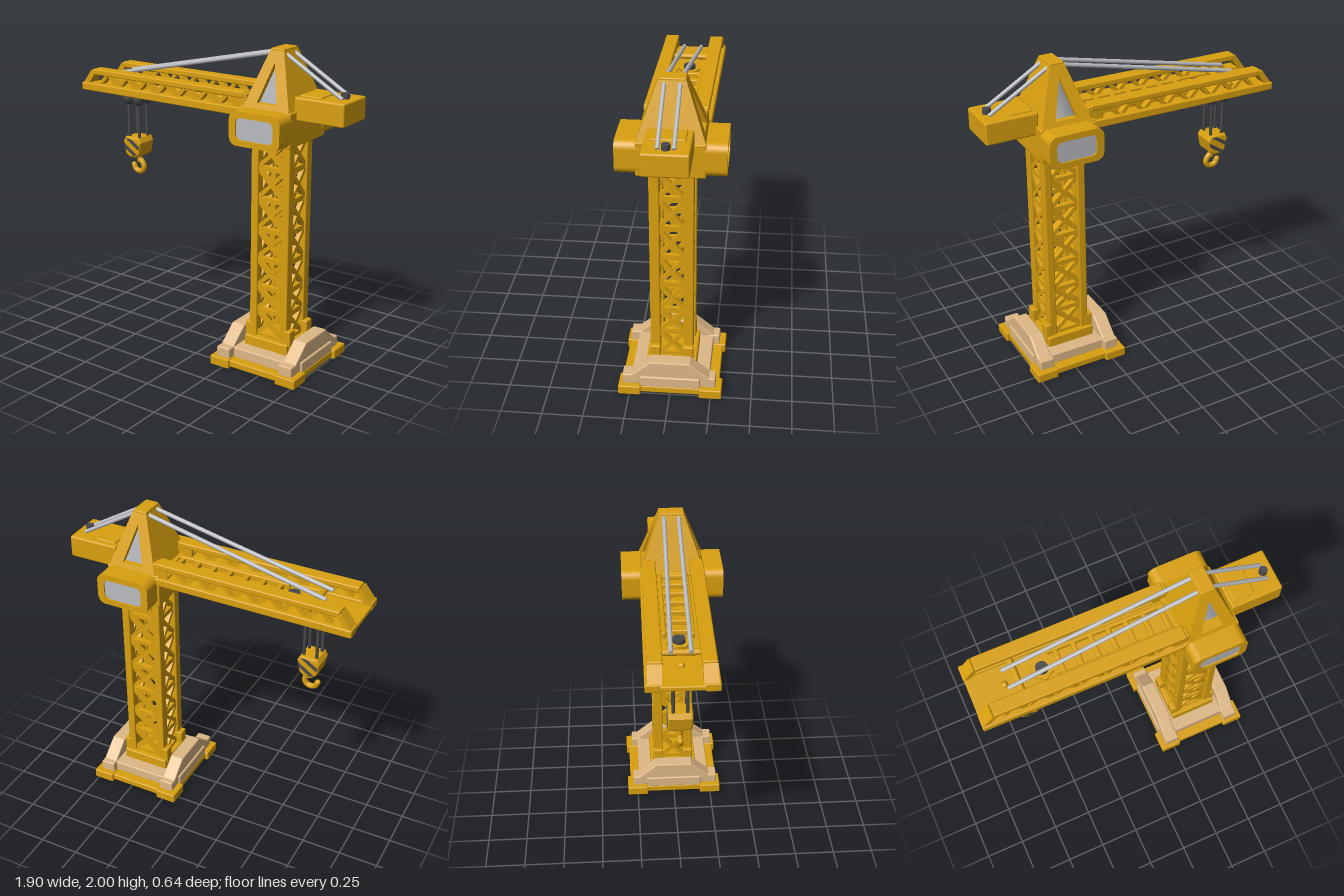
import * as THREE from 'three';
import { RoundedBoxGeometry } from 'three/addons/geometries/RoundedBoxGeometry.js';

const paint = (name, color, opts = {}) => Object.assign(new THREE.MeshStandardMaterial({ color, ...opts }), { name });

export function createModel() {
  const yellow = paint('crane yellow', 0xd9a00f);
  const tan = paint('ballast tan', 0xdeb887);
  const grey = paint('light grey', 0xb9bbbf);
  const dark = paint('dark grey', 0x48484a);
  const root = new THREE.Group();
  root.name = 'towerCrane';

  const group = (name, parent = root) => {
    const g = new THREE.Group();
    g.name = name;
    parent.add(g);
    return g;
  };
  const add = (parent, name, geo, mat, x = 0, y = 0, z = 0) => {
    const m = new THREE.Mesh(geo, mat);
    m.name = name;
    m.position.set(x, y, z);
    parent.add(m);
    return m;
  };
  // Box given by its extents, with softened edges
  const box = (parent, name, mat, x0, x1, y0, y1, z0, z1, r = 0.008) =>
    add(parent, name, new RoundedBoxGeometry(x1 - x0, y1 - y0, z1 - z0, 2, r), mat,
      (x0 + x1) / 2, (y0 + y1) / 2, (z0 + z1) / 2);
  const UP = new THREE.Vector3(0, 1, 0);
  const between = (parent, name, mat, a, b, makeGeo) => {
    const A = new THREE.Vector3(...a), B = new THREE.Vector3(...b);
    const dir = B.clone().sub(A), len = dir.length();
    const m = add(parent, name, makeGeo(len), mat);
    m.position.copy(A).add(B).multiplyScalar(0.5);
    m.quaternion.setFromUnitVectors(UP, dir.normalize());
  };
  const beam = (p, n, a, b, w, d) => between(p, n, yellow, a, b, (l) => new THREE.BoxGeometry(w, l, d));
  const rod = (p, n, mat, a, b, r) => between(p, n, mat, a, b, (l) => new THREE.CylinderGeometry(r, r, l, 12));
  const polygon = (pts) => new THREE.Shape(pts.map((p) => new THREE.Vector2(...p)));
  const extrude = (shape, depth, bevel = 0) => new THREE.ExtrudeGeometry(shape, {
    depth, curveSegments: 8, bevelEnabled: bevel > 0, bevelSize: bevel, bevelThickness: bevel, bevelSegments: 2, bevelOffset: -bevel,
  });
  const CX = 0.467;

  // Base frame, corner feet and ballast
  const base = group('base');
  box(base, 'basePlate', yellow, 0.18, 0.755, 0.01, 0.055, -0.3, 0.3);
  box(base, 'ballastSlab', tan, 0.2, 0.735, 0.05, 0.12, -0.24, 0.24);
  for (const sx of [-1, 1]) {
    for (const sz of [-1, 1]) {
      const fx = CX + sx * 0.239, fz = sz * 0.249;
      box(base, 'cornerFoot', yellow, fx - 0.069, fx + 0.069, 0, 0.062, fz - 0.069, fz + 0.069);
      const bx = CX + sx * 0.225;
      box(base, 'ballastEnd', tan, bx - 0.047, bx + 0.047, 0.055, 0.125, fz - 0.03, fz + 0.045);
    }
    const side = extrude(polygon([[-0.24, 0.06], [0.24, 0.06], [0.24, 0.125], [0.12, 0.225], [-0.12, 0.225], [-0.24, 0.125]]), 0.074, 0.008);
    side.translate(0, 0, -0.037).rotateY(Math.PI / 2);
    add(base, 'ballastWedge', side, tan, CX + sx * 0.227);
    const px = CX + sx * 0.265;
    box(base, 'ballastPanel', tan, px - 0.02, px + 0.02, 0.05, 0.122, -0.185, 0.185);
  }
  box(base, 'towerFoot', yellow, 0.31, 0.622, 0.11, 0.185, -0.155, 0.155);

  // Lattice tower
  const tower = group('tower');
  const levels = [0.19, 0.36, 0.515, 0.7, 0.89, 1.085, 1.28, 1.46];
  for (const sx of [-1, 1]) for (const sz of [-1, 1]) {
    const lx = CX + sx * 0.109, lz = sz * 0.101;
    box(tower, 'towerLeg', yellow, lx - 0.025, lx + 0.025, 0.15, 1.47, lz - 0.031, lz + 0.031);
    const cx = CX + sx * 0.137;
    box(tower, 'legCollar', yellow, cx - 0.026, cx + 0.026, 0.15, 0.27, lz - 0.033, lz + 0.033);
  }
  for (let i = 0; i < levels.length - 1; i++) {
    const a = levels[i], b = levels[i + 1];
    for (const s of [-1, 1]) {
      const z = s * 0.103, x = CX + s * 0.109;
      for (const d of [-1, 1]) {
        beam(tower, 'towerBrace', [CX - d * 0.09, a + 0.01, z], [CX + d * 0.09, b - 0.01, z], 0.026, 0.03);
        beam(tower, 'towerBrace', [x, a + 0.01, -d * 0.075], [x, b - 0.01, d * 0.075], 0.03, 0.025);
      }
      beam(tower, 'towerRung', [CX - 0.1, a, z], [CX + 0.1, a, z], 0.028, 0.035);
      beam(tower, 'towerRung', [x, a, -0.08], [x, a, 0.08], 0.028, 0.035);
    }
  }

  // Slewing body with a cab on each face
  const cabin = group('cabin');
  box(cabin, 'slewingBody', yellow, 0.285, 0.64, 1.45, 1.66, -0.2, 0.2);
  const rounded = (w, h, r, Type = THREE.Shape) => {
    const s = new Type();
    [[w - r, r, -90], [w - r, h - r, 0], [r - w, h - r, 90], [r - w, r, 180]].forEach(([x, y, deg]) =>
      s.absarc(x, y - h / 2, r, deg * Math.PI / 180, (deg + 90) * Math.PI / 180, false));
    return s;
  };
  for (const s of [-1, 1]) {
    const cab = group('cab', cabin);
    cab.position.set(0.47, 1.558, 0);
    if (s < 0) cab.rotation.y = Math.PI;
    add(cab, 'cabBody', extrude(rounded(0.172, 0.205, 0.05), 0.13), yellow, 0, 0, 0.175);
    const rim = rounded(0.172, 0.205, 0.05);
    rim.holes.push(rounded(0.127, 0.132, 0.035, THREE.Path));
    add(cab, 'cabWindowRim', extrude(rim, 0.015), yellow, 0, 0, 0.304);
    add(cab, 'cabWindow', extrude(rounded(0.13, 0.138, 0.035), 0.006), grey, 0, 0, 0.304);
  }

  // Tapered tower head: four leaning panels, pierced front and back
  const head = group('towerHead');
  head.position.x = 0.47;
  const panel = (name, w0, w1, off0, off1, turn, pierced) => {
    const s = polygon([[-w0, 1.65], [w0, 1.65], [w1, 1.99], [-w1, 1.99]]);
    if (pierced) s.holes.push(new THREE.Path([[-0.068, 1.69], [0, 1.92], [0.068, 1.69]].map((p) => new THREE.Vector2(...p))));
    const g = extrude(s, 0.035), p = g.attributes.position;
    for (let i = 0; i < p.count; i++) {
      const t = (p.getY(i) - 1.65) / 0.34;
      p.setZ(i, p.getZ(i) - 0.035 + off0 + (off1 - off0) * t);
    }
    g.computeVertexNormals();
    add(head, name, g, yellow).rotation.y = turn;
  };
  for (const k of [0, 1]) {
    panel('headFrame', 0.16, 0.045, 0.2, 0.078, k * Math.PI, true);
    panel('headSide', 0.2, 0.078, 0.16, 0.045, Math.PI / 2 + k * Math.PI, false);
  }
  box(head, 'headCap', yellow, -0.046, 0.046, 1.95, 2, -0.079, 0.079);
  const core = new THREE.CylinderGeometry(0.045, 0.16, 0.3, 4, 1).rotateY(Math.PI / 4);
  add(head, 'headCore', core, grey, 0, 1.8, 0);

  // Counterweight and its stays
  const counter = group('counterweight');
  box(counter, 'counterweightBlock', yellow, 0.62, 0.945, 1.605, 1.745, -0.133, 0.133, 0.012);
  box(counter, 'counterweightLid', yellow, 0.64, 0.78, 1.73, 1.755, -0.1, 0.1);
  add(counter, 'anchorKnob', new THREE.CylinderGeometry(0.025, 0.025, 0.05, 16), dark, 0.88, 1.752, 0);
  for (const z of [-0.045, 0.045]) rod(counter, 'rearStay', grey, [0.5, 1.975, z], [0.885, 1.748, z], 0.012);

  // Jib, turned very slightly about the tower
  const jib = group('jib');
  jib.rotation.y = -0.012;
  jib.position.z = -0.0055;
  box(jib, 'jibFloor', yellow, -0.945, 0.31, 1.605, 1.635, -0.2, 0.2);
  box(jib, 'jibKeel', yellow, -0.55, 0.29, 1.597, 1.615, -0.09, 0.09);
  for (const s of [-1, 1]) {
    const side = group('jibTruss', jib);
    const zs = (a, b) => [Math.min(s * a, s * b), Math.max(s * a, s * b)];
    box(side, 'lowerChord', yellow, -0.948, 0.31, 1.6, 1.65, ...zs(0.12, 0.205));
    box(side, 'upperChord', yellow, -0.865, 0.31, 1.705, 1.742, ...zs(0.105, 0.19));
    beam(side, 'jibTip', [-0.933, 1.627, s * 0.152], [-0.86, 1.723, s * 0.15], 0.036, 0.08);
    const n = 14, x0 = -0.82, step = 0.078;
    for (let i = 0; i < n; i++) {
      const up = i % 2, x = x0 + i * step;
      beam(side, 'jibBrace', [x, up ? 1.72 : 1.635, s * 0.16], [x + step, up ? 1.635 : 1.72, s * 0.16], 0.024, 0.04);
    }
    box(side, 'jibBracket', yellow, 0.23, 0.33, 1.605, 1.735, ...zs(0.12, 0.185));
    box(side, 'ladderRail', yellow, -0.45, 0.29, 1.63, 1.67, ...zs(0.07, 0.095));
    rod(jib, 'frontStay', grey, [-0.73, 1.715, s * 0.056], [0.45, 1.975, s * 0.045], 0.013);
  }
  for (let i = 0; i < 7; i++) {
    const x = -0.4 + i * 0.11;
    box(jib, 'ladderRung', yellow, x - 0.015, x + 0.015, 1.63, 1.665, -0.08, 0.08);
  }
  add(jib, 'trolleyBoss', new THREE.CylinderGeometry(0.07, 0.07, 0.06, 6), yellow, -0.51, 1.62, 0);
  add(jib, 'trolleyPin', new THREE.CylinderGeometry(0.037, 0.037, 0.05, 20), dark, -0.51, 1.65, 0);
  rod(jib, 'trolleyAxle', yellow, [-0.66, 1.672, -0.165], [-0.66, 1.672, 0.165], 0.018);
  add(jib, 'floorStud', new THREE.SphereGeometry(0.022, 12, 8), yellow, -0.74, 1.637, 0);

  // Pulleys, ropes and hook block
  const hoist = group('hoist', jib);
  hoist.position.x = -0.65;
  for (const x of [-0.041, 0.041]) for (const z of [-0.041, 0.041]) {
    add(hoist, 'pulley', new THREE.SphereGeometry(0.04, 16, 12), dark, x, 1.553, z).scale.y = 1.2;
    rod(hoist, 'rope', dark, [x, 1.27, z], [x, 1.55, z], 0.01);
  }
  const block = polygon([[-0.072, 1.262], [-0.055, 1.292], [0.055, 1.292], [0.072, 1.262], [0.055, 1.18], [0.03, 1.158], [-0.03, 1.158], [-0.055, 1.18]]);
  add(hoist, 'hookBlock', extrude(block, 0.12, 0.012), yellow, 0, 0, -0.06);
  const stripes = [
    [[-0.066, 1.25], [-0.058, 1.218], [0.018, 1.168], [0.04, 1.18]],
    [[-0.048, 1.282], [-0.01, 1.282], [0.06, 1.238], [0.054, 1.214]],
  ];
  for (const pts of stripes) for (const s of [-1, 1]) {
    const plate = add(hoist, 'warningStripe', extrude(polygon(pts), 0.004), dark, 0, 0, s * 0.071);
    if (s < 0) plate.rotation.y = Math.PI;
  }
  rod(hoist, 'hookShank', yellow, [0.008, 1.115, 0], [0.008, 1.17, 0], 0.018);
  const hook = new THREE.CatmullRomCurve3([[0.008, 1.135], [0.03, 1.115], [0.042, 1.085], [0.028, 1.057], [0, 1.049], [-0.028, 1.06], [-0.042, 1.088]]
    .map(([x, y]) => new THREE.Vector3(x, y, 0)));
  add(hoist, 'hook', new THREE.TubeGeometry(hook, 32, 0.018, 12), yellow);
  add(hoist, 'hookTip', new THREE.SphereGeometry(0.018, 12, 8), yellow, -0.042, 1.088, 0);

  return root;
}
